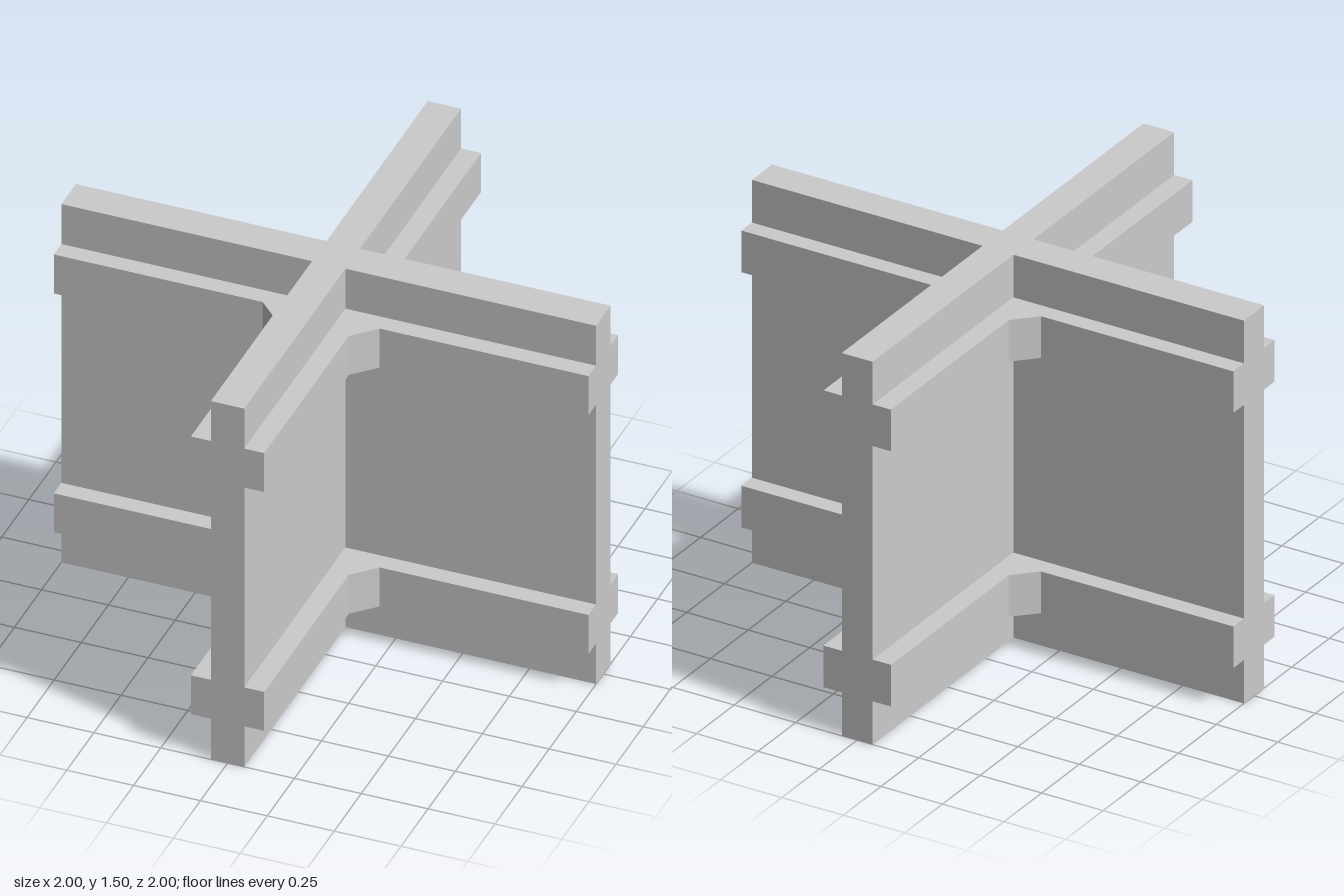
import * as THREE from 'three';

const HEIGHT = 1.5;
const REACH = 1;       // arm length from the centre
const HALF_X = 0.0625; // half thickness of the wall running along z
const HALF_Z = 0.067;  // half thickness of the wall running along x
const RAIL = 0.137;    // distance from centre line to rail face
const BEVEL = 0.219;   // where the inner corner bevel meets the rail

const material = new THREE.MeshStandardMaterial({ color: 0xcccccc });

// Extrude a plan outline of [x, z] points upwards from y0 by the given height
function extrudePlan(name, points, y0, height) {
  const shape = new THREE.Shape(points.map(([x, z]) => new THREE.Vector2(x, -z)));
  const geometry = new THREE.ExtrudeGeometry(shape, { depth: height, bevelEnabled: false });
  geometry.rotateX(-Math.PI / 2);
  geometry.translate(0, y0, 0);
  const mesh = new THREE.Mesh(geometry, material);
  mesh.name = name;
  return mesh;
}

export function createModel() {
  const group = new THREE.Group();
  group.name = 'crossWall';

  // Two crossing walls as one plus-shaped solid
  const a = HALF_X, b = HALF_Z, r = REACH;
  group.add(extrudePlan('crossedWalls', [
    [r, -b], [r, b], [a, b], [a, r], [-a, r], [-a, b],
    [-r, b], [-r, -b], [-a, -b], [-a, -r], [a, -r], [a, -b],
  ], 0, HEIGHT));

  // L-shaped rails with a bevelled inner corner, in every quadrant at two levels
  const railPlan = [
    [a, b], [r, b], [r, RAIL], [BEVEL, RAIL], [RAIL, BEVEL], [RAIL, r], [a, r],
  ];
  for (const [level, y] of [['lower', 0.17], ['upper', 1.17]]) {
    for (const sx of [-1, 1]) {
      for (const sz of [-1, 1]) {
        const name = `${level}Rail${sz > 0 ? 'Front' : 'Back'}${sx > 0 ? 'Left' : 'Right'}`;
        group.add(extrudePlan(name, railPlan.map(([x, z]) => [x * sx, z * sz]), y, 0.163));
      }
    }
  }
  return group;
}
